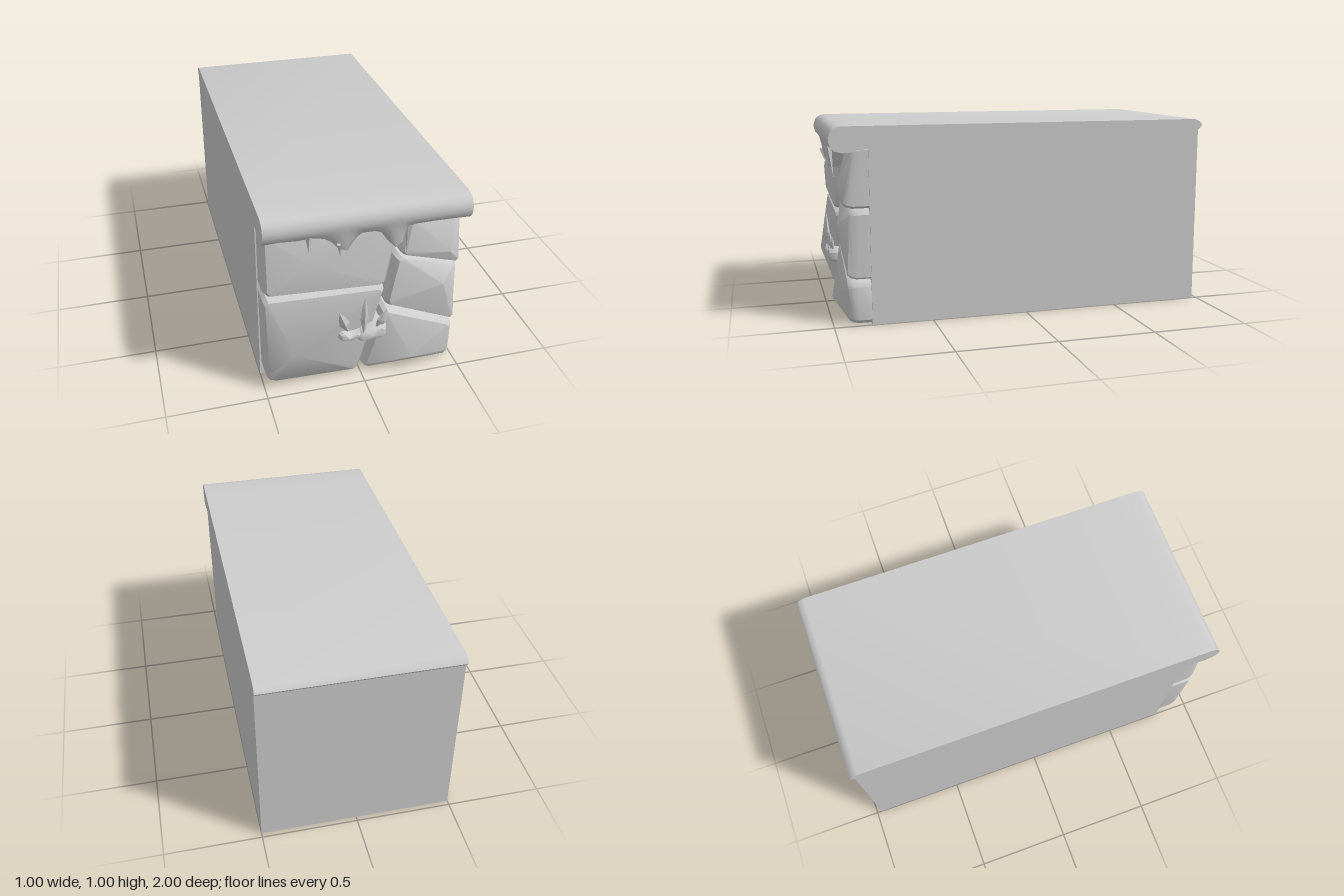
import * as THREE from 'three';
import { toCreasedNormals } from 'three/addons/utils/BufferGeometryUtils.js';

const stoneGrey = new THREE.MeshStandardMaterial({ color: 0xcccccc });
stoneGrey.name = 'stone grey';

function add(parent, name, geometry) {
  const mesh = new THREE.Mesh(geometry, stoneGrey);
  mesh.name = name;
  parent.add(mesh);
  return mesh;
}

// Joins equal-length rings of [x, y, z]; closed rings wrap around
function loft(rings, closed, tip) {
  const n = rings[0].length, pos = rings.flat(2), idx = [];
  for (let r = 0; r < rings.length - 1; r++) {
    for (let i = 0; i < (closed ? n : n - 1); i++) {
      const a = r * n + i, b = r * n + (i + 1) % n;
      idx.push(a, b, b + n, a, b + n, a + n);
    }
  }
  if (tip) {
    const last = (rings.length - 1) * n, t = rings.length * n;
    pos.push(...tip);
    for (let i = 0; i < n; i++) idx.push(last + i, last + (i + 1) % n, t);
  }
  const g = new THREE.BufferGeometry();
  g.setAttribute('position', new THREE.Float32BufferAttribute(pos, 3));
  g.setIndex(idx);
  return g;
}

// Chiselled stone: counterclockwise corners with rim depth, and a peak
function stone(corners, peak) {
  const outline = [];
  corners.forEach((c, i) => {
    const p = new THREE.Vector3(...c), n = corners.length;
    for (const j of [(i + n - 1) % n, (i + 1) % n]) {
      const q = new THREE.Vector3(...corners[j]);
      outline.push(p.clone().add(q.sub(p).setLength(0.018)));
    }
  });
  const ring = (inset, z) => outline.map((p) => {
    const dx = peak[0] - p.x, dy = peak[1] - p.y, l = Math.hypot(dx, dy);
    return [p.x + dx / l * inset, p.y + dy / l * inset, z(p.z)];
  });
  const rings = [
    ring(0, () => 0.8), ring(0, (z) => z - 0.045),
    ring(0.007, (z) => z - 0.018), ring(0.022, (z) => z),
  ];
  return toCreasedNormals(loft(rings, true, peak), 0.6);
}

// Lower edge of the overhanging lip with its drips
const edge = [
  [-0.5, 0.87], [-0.42, 0.875], [-0.34, 0.867], [-0.27, 0.872], [-0.21, 0.855], [-0.17, 0.83],
  [-0.14, 0.795], [-0.1, 0.78], [-0.07, 0.82], [-0.03, 0.86], [0.03, 0.86], [0.07, 0.845],
  [0.1, 0.80], [0.135, 0.762], [0.17, 0.785], [0.19, 0.85], [0.23, 0.873], [0.36, 0.875], [0.5, 0.87],
];

function lipSection(x, b) {
  const z = 0.955 + (0.87 - b) * 0.2;
  return [
    [x, 1, 0.8], [x, 1, 0.94], [x, 0.994, 0.966], [x, 0.977, 0.987], [x, 0.95, 0.999],
    [x, 0.925, 1], [x, 0.9, 0.993], [x, b * 0.6 + 0.356, (z + 0.99) / 2],
    [x, b + 0.006, z], [x, b, z - 0.02], [x, b + 0.004, 0.88], [x, 0.885, 0.86], [x, 0.885, 0.8],
  ];
}

// Flattened four-sided spike running from its root to its tip
function spike(parent, name, from, to, radius) {
  const a = new THREE.Vector3(...from), d = new THREE.Vector3(...to).sub(a);
  const g = new THREE.ConeGeometry(radius, d.length(), 4, 2).toNonIndexed();
  g.scale(1, 1, 0.7);
  g.computeVertexNormals();
  const m = add(parent, name, g);
  m.position.copy(a).addScaledVector(d, 0.5);
  m.quaternion.setFromUnitVectors(new THREE.Vector3(0, 1, 0), d.normalize());
}

// Pointed leaf, widest near its lower third
function leaf(parent, from, to, width) {
  const a = new THREE.Vector3(...from), d = new THREE.Vector3(...to).sub(a), len = d.length();
  const profile = [[0.2, 0], [1, 0.4], [0.7, 0.7], [0, 1]].map(([r, t]) => new THREE.Vector2(r * width, t * len));
  const g = new THREE.LatheGeometry(profile, 4).toNonIndexed();
  g.scale(1, 1, 0.6);
  g.computeVertexNormals();
  const m = add(parent, 'leaf', g);
  m.position.copy(a);
  m.quaternion.setFromUnitVectors(new THREE.Vector3(0, 1, 0), d.normalize());
}

export function createModel() {
  const group = new THREE.Group();
  group.name = 'stoneLedge';

  // Plain body with the slim rounded lip at the back
  const side = new THREE.Shape();
  side.moveTo(-0.81, 0);
  side.lineTo(0.975, 0);
  side.lineTo(0.975, 0.94);
  side.lineTo(1, 0.967);
  side.lineTo(0.985, 0.988);
  side.lineTo(0.955, 1);
  side.lineTo(-0.81, 1);
  const body = new THREE.ExtrudeGeometry(side, { depth: 1, bevelEnabled: false });
  body.translate(0, 0, -0.5).rotateY(Math.PI / 2);
  add(group, 'body', toCreasedNormals(body, 0.6));

  // Front lip with flat ends
  const sections = edge.map(([x, b]) => lipSection(x, b));
  add(group, 'frontLip', toCreasedNormals(loft(sections, false), 0.9));
  for (const s of [-1, 1]) {
    const cap = new THREE.Shape(lipSection(0, 0.87).map(([, y, z]) => new THREE.Vector2(-s * z, y)));
    const end = add(group, 'lipEnd', new THREE.ShapeGeometry(cap));
    end.rotation.y = s * Math.PI / 2;
    end.position.x = s * 0.5;
  }

  // Stones of the front wall
  const stones = [
    ['upperLeftStone', [[-0.493, 0.56, 0.945], [0.115, 0.533, 0.945], [0.195, 0.9, 0.9], [-0.493, 0.9, 0.92]], [-0.27, 0.72, 0.965]],
    ['lowerLeftStone', [[-0.46, 0.012, 0.92], [-0.005, 0.008, 0.92], [0.115, 0.52, 0.94], [-0.495, 0.547, 0.935], [-0.49, 0.06, 0.94]], [-0.35, 0.23, 0.995]],
    ['upperRightStone', [[0.177, 0.683, 0.93], [0.493, 0.588, 0.94], [0.493, 0.9, 0.885], [0.215, 0.9, 0.89]], [0.42, 0.69, 0.965]],
    ['middleRightStone', [[0.108, 0.405, 0.94], [0.493, 0.228, 0.925], [0.493, 0.58, 0.91], [0.172, 0.668, 0.91]], [0.4, 0.5, 0.965]],
    ['lowerRightStone', [[0.008, 0.008, 0.915], [0.493, 0.008, 0.915], [0.493, 0.213, 0.925], [0.112, 0.378, 0.93]], [0.25, 0.09, 0.985]],
  ];
  for (const [name, corners, peak] of stones) add(group, name, stone(corners, peak));

  // Thin spikes hanging under the lip
  spike(group, 'hangingSpike', [-0.283, 0.895, 0.975], [-0.283, 0.805, 0.965], 0.018);
  spike(group, 'hangingSpike', [-0.145, 0.835, 0.985], [-0.13, 0.755, 0.965], 0.014);
  spike(group, 'hangingSpike', [0.195, 0.878, 0.97], [0.2, 0.71, 0.955], 0.018);

  // Small plant on a lumpy ledge
  const plant = new THREE.Group();
  plant.name = 'plant';
  group.add(plant);
  add(plant, 'leftClump', stone([[-0.14, 0.255, 0.985], [-0.03, 0.25, 0.985], [0, 0.3, 0.985], [-0.055, 0.295, 0.985], [-0.135, 0.32, 0.98]], [-0.08, 0.275, 0.99]));
  add(plant, 'rightClump', stone([[-0.05, 0.242, 0.99], [0.122, 0.24, 0.98], [0.12, 0.315, 0.98], [0.06, 0.322, 0.985], [-0.03, 0.3, 0.988]], [0.04, 0.275, 0.995]));
  leaf(plant, [-0.085, 0.31, 0.965], [-0.135, 0.44, 0.985], 0.026);
  leaf(plant, [-0.006, 0.29, 0.975], [-0.008, 0.512, 0.985], 0.02);
  leaf(plant, [0.06, 0.3, 0.965], [0.108, 0.418, 0.98], 0.02);
  leaf(plant, [0.09, 0.3, 0.96], [0.11, 0.385, 0.965], 0.014);

  return group;
}
